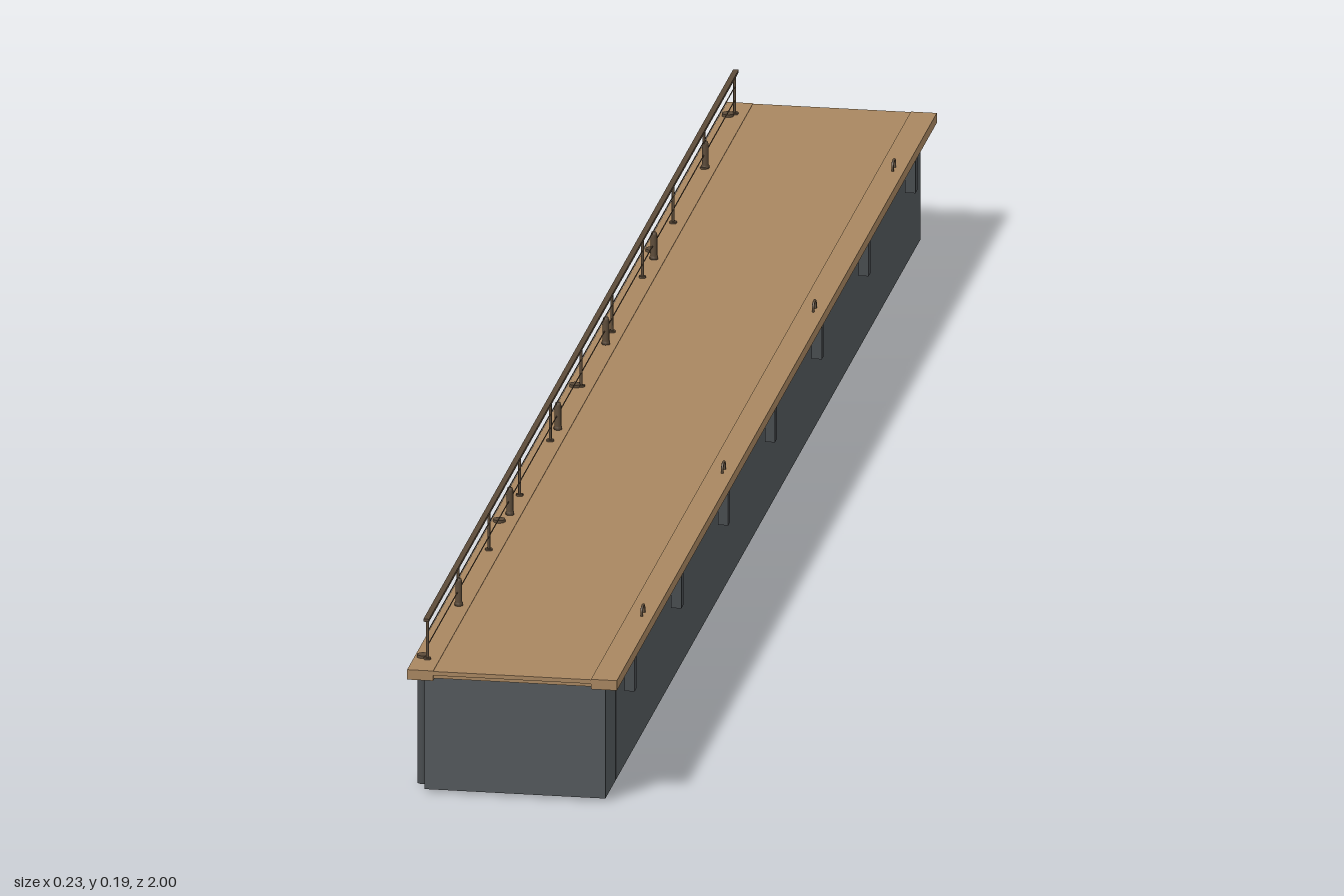
import * as THREE from 'three';

export function createModel() {
  const model = new THREE.Group();
  model.name = 'floatingDock';
  const mat = (name, color) => {
    const m = new THREE.MeshStandardMaterial({ color });
    m.name = name;
    return m;
  };
  const wood = mat('deckWood', 0xa88660);
  const concrete = mat('pontoonGrey', 0x53585b);
  const steel = mat('pileGrey', 0x484c4f);
  const brown = mat('darkBrown', 0x5c4b39);

  const add = (name, geo, material, x, y, z) => {
    const m = new THREE.Mesh(geo, material);
    m.name = name;
    m.position.set(x, y, z);
    model.add(m);
    return m;
  };
  // Box given by its limits on each axis
  const box = (name, material, x0, x1, y0, y1, z0, z1) =>
    add(name, new THREE.BoxGeometry(x1 - x0, y1 - y0, z1 - z0), material,
      (x0 + x1) / 2, (y0 + y1) / 2, (z0 + z1) / 2);

  // Pontoon hull in sections with hairline joints
  const joints = [-0.985, -0.92, -0.46, 0, 0.46, 0.92, 0.985];
  for (let i = 0; i < joints.length - 1; i++) {
    box('pontoon', concrete, -0.098, 0.097, 0.003, 0.131,
      joints[i] + (i ? 0.0006 : 0), joints[i + 1] - (i < 5 ? 0.0006 : 0));
  }
  box('pontoonCore', concrete, -0.096, 0.095, 0.004, 0.13, -0.984, 0.984);

  // Deck boards and thicker edge beams
  box('deckBase', wood, -0.086, 0.084, 0.131, 0.135, -0.997, 0.997);
  box('deckBoards', wood, -0.086, 0.084, 0.135, 0.1395, -1, 1);
  box('leftEdgeBeam', wood, 0.084, 0.112, 0.129, 0.14, -1, 1);
  box('rightEdgeBeam', wood, -0.114, -0.086, 0.129, 0.14, -1, 1);

  // Guide piles with low caps on the railing side
  const pileGeo = new THREE.CylinderGeometry(0.006, 0.006, 0.138, 16);
  const capGeo = new THREE.CylinderGeometry(0.0065, 0.0065, 0.004, 16);
  for (const z of [-0.953, -0.4765, 0, 0.4765, 0.953]) {
    add('pile', pileGeo, steel, -0.105, 0.069, z);
    add('pileCap', capGeo, brown, -0.105, 0.141, z);
  }

  // Fenders hanging on the mooring side
  for (let i = -3; i <= 3; i++) {
    const z = i * 0.2925;
    box('fender', steel, 0.1, 0.111, 0.091, 0.13, z - 0.006, z + 0.006);
  }

  // Railing
  const postGeo = new THREE.CylinderGeometry(0.0016, 0.0016, 0.046, 8);
  const footGeo = new THREE.CylinderGeometry(0.004, 0.004, 0.002, 10);
  for (let i = -5; i <= 5; i++) {
    add('railPost', postGeo, brown, -0.099, 0.162, i * 0.192);
    add('railFoot', footGeo, brown, -0.099, 0.141, i * 0.192);
  }
  box('handRail', brown, -0.102, -0.096, 0.184, 0.187, -0.968, 0.968);
  const wireGeo = new THREE.CylinderGeometry(0.0006, 0.0006, 1.92, 6);
  for (const y of [0.155, 0.17]) {
    add('railWire', wireGeo, brown, -0.099, y, 0).rotation.x = Math.PI / 2;
  }

  // Short bollards along the railing
  const bollardGeo = new THREE.LatheGeometry([
    [0, 0], [0.0045, 0], [0.0045, 0.003], [0.0035, 0.004],
    [0.0035, 0.027], [0.0025, 0.03], [0, 0.03],
  ].map(([r, y]) => new THREE.Vector2(r, y)), 14);
  for (const z of [-0.77, -0.45, -0.15, 0.15, 0.45, 0.77]) {
    add('bollard', bollardGeo, brown, -0.098, 0.14, z);
  }

  // Arched mooring loops on the open side
  const loopPath = new THREE.CatmullRomCurve3([
    [-0.007, 0], [-0.007, 0.006], [-0.004, 0.0095], [0.004, 0.0095], [0.007, 0.006], [0.007, 0],
  ].map(([z, y]) => new THREE.Vector3(0, y, z)));
  const loopGeo = new THREE.TubeGeometry(loopPath, 20, 0.0014, 8);
  for (const z of [-0.8, -0.304, 0.264, 0.768]) {
    add('mooringLoop', loopGeo, brown, 0.1, 0.14, z);
  }
  return model;
}
